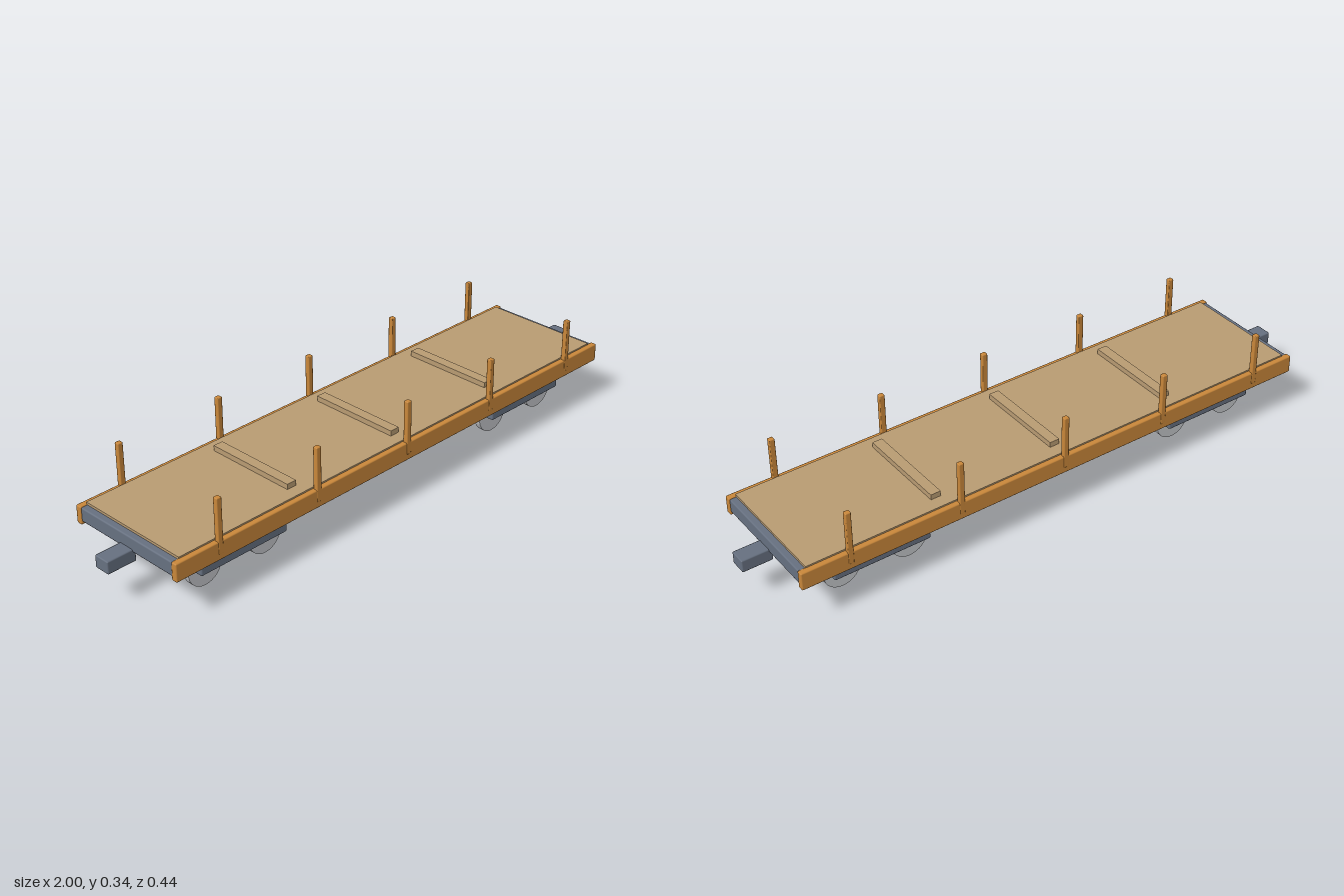
import * as THREE from 'three';
import { RoundedBoxGeometry } from 'three/addons/geometries/RoundedBoxGeometry.js';

const material = (name, color) => {
  const m = new THREE.MeshStandardMaterial({ color });
  m.name = name;
  return m;
};

export function createModel() {
  const steel = material('blue grey steel', 0x667080);
  const orange = material('orange timber', 0xc9873a);
  const planks = material('pale deck wood', 0xb89b72);
  const silver = material('silver wheel', 0xc4c6ca);

  const model = new THREE.Group();
  model.name = 'flatWagon';

  const add = (name, geometry, mat, x, y, z, parent = model) => {
    const mesh = new THREE.Mesh(geometry, mat);
    mesh.name = name;
    mesh.position.set(x, y, z);
    parent.add(mesh);
    return mesh;
  };
  // Box with softened edges
  const soft = (w, h, d, r = 0.005) => new RoundedBoxGeometry(w, h, d, 1, r);

  // Underframe and deck
  add('chassis', soft(1.824, 0.047, 0.4), steel, 0, 0.1735, 0);
  add('deck', new THREE.BoxGeometry(1.78, 0.012, 0.4), planks, 0, 0.199, 0);
  for (const x of [-0.43, 0, 0.43]) {
    add('deckBatten', new THREE.BoxGeometry(0.034, 0.018, 0.316), planks, x, 0.2135, 0);
  }

  // Side beams with upright stakes
  for (const side of [-1, 1]) {
    add('sideBeam', soft(1.83, 0.06, 0.021, 0.004), orange, 0, 0.17, side * 0.2065);
    for (let i = -2; i <= 2; i++) {
      add('stake', soft(0.018, 0.18, 0.017, 0.003), orange, i * 0.377, 0.25, side * 0.21);
    }
  }

  // Couplers and bogies at both ends
  const wheelGeometry = new THREE.CylinderGeometry(0.062, 0.062, 0.021, 32);
  wheelGeometry.rotateX(Math.PI / 2);
  for (const end of [-1, 1]) {
    add('coupler', soft(0.1, 0.042, 0.055, 0.004), steel, end * 0.95, 0.1385, 0);

    const bogie = new THREE.Group();
    bogie.name = 'bogie';
    bogie.position.x = end * 0.619;
    model.add(bogie);
    add('bogieFrame', soft(0.328, 0.057, 0.326), steel, 0, 0.0985, 0, bogie);
    for (const dx of [-0.115, 0.115]) {
      for (const z of [-0.11, 0.11]) {
        add('wheel', wheelGeometry, silver, dx, 0.062, z, bogie);
      }
    }
  }
  return model;
}
